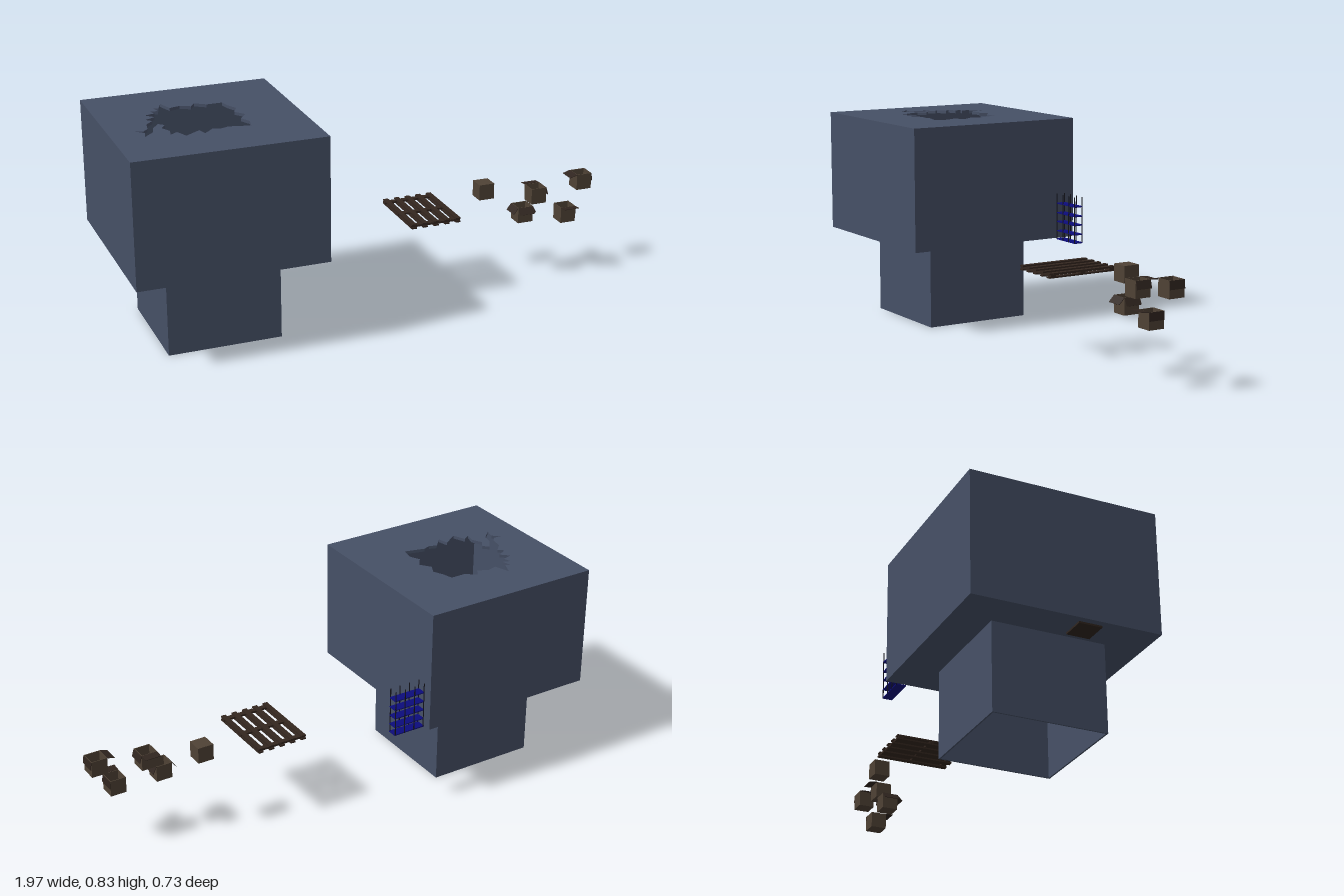
import * as THREE from 'three';

const mat = (name, color) => {
  const m = new THREE.MeshStandardMaterial({ color });
  m.name = name;
  return m;
};

export function createModel() {
  const slate = mat('slate', 0x465066);
  const navy = mat('navy', 0x0c0c7c);
  const black = mat('black', 0x14141c);
  const darkWood = mat('darkWood', 0x33261f);
  const card = mat('cardboard', 0x4f4235);
  const darkCard = mat('darkCardboard', 0x30251f);
  const model = new THREE.Group();
  model.name = 'ruinedBlockAndCargo';

  const group = (name, parent = model) => {
    const g = new THREE.Group();
    g.name = name;
    parent.add(g);
    return g;
  };
  const box = (parent, name, m, size, pos) => {
    const mesh = new THREE.Mesh(new THREE.BoxGeometry(...size), m);
    mesh.name = name;
    mesh.position.set(...pos);
    parent.add(mesh);
    return mesh;
  };

  // Four thin walls of a square room, without floor or roof
  const CX = -0.632;
  const walls = (parent, name, half, y0, y1, t) => {
    const h = y1 - y0, y = (y0 + y1) / 2;
    for (const s of [-1, 1]) {
      box(parent, name + 'Side', slate, [t, h, half * 2], [CX + s * (half - t / 2), y, 0]);
      box(parent, name + 'End', slate, [half * 2 - t * 2, h, t], [CX, y, s * (half - t / 2)]);
    }
  };
  // Horizontal square slab with a hole given as [x, z] points
  const slab = (parent, name, half, hole, y, t) => {
    const shape = new THREE.Shape([[-1, -1], [1, -1], [1, 1], [-1, 1]]
      .map(([a, b]) => new THREE.Vector2(CX + a * half, b * half)));
    shape.holes.push(new THREE.Path(hole.map(([x, z]) => new THREE.Vector2(x, -z))));
    const geo = new THREE.ExtrudeGeometry(shape, { depth: t, bevelEnabled: false });
    geo.rotateX(-Math.PI / 2);
    const mesh = new THREE.Mesh(geo, slate);
    mesh.name = name;
    mesh.position.y = y;
    parent.add(mesh);
  };

  // Building: open shaft below, wide room above with a broken roof
  const building = group('building');
  walls(building, 'shaftWall', 0.22, 0, 0.345, 0.006);
  walls(building, 'roomWall', 0.366, 0.343, 0.822, 0.012);
  const sq = 0.214;
  slab(building, 'roomFloor', 0.366,
    [[CX - sq, -sq], [CX + sq, -sq], [CX + sq, sq], [CX - sq, sq]], 0.342, 0.008);
  const breach = [
    -73, -21, -71, -15, -67, -16, -63, -14, -61, -17, -57, -14, -51, -14, -50, -10,
    -48, -6, -50, -2, -47, 2, -50, 6, -48, 10, -49, 15, -53, 14, -57, 13,
    -60, 14, -63, 13, -67, 17, -68, 13, -74, 17, -76, 12, -79, 14, -78, 10,
    -80, 6, -78, 3, -80, 1, -83, 5, -84, 9, -88, 13, -87, 9, -90, 6,
    -87, 7, -85, 5, -84, 0, -81, -3, -83, -5, -79, -7, -82, -10, -78, -11,
    -79, -14, -76, -13, -77, -17, -75, -16];
  const holePts = [];
  for (let i = 0; i < breach.length; i += 2) holePts.push([breach[i] / 100, breach[i + 1] / 100]);
  slab(building, 'brokenRoof', 0.366, holePts, 0.816, 0.012);

  // Shelf rack beside the room
  const rack = group('shelfRack');
  for (const y of [0.338, 0.372, 0.41, 0.446, 0.485])
    box(rack, 'shelf', navy, [0.134, 0.004, 0.038], [-0.201, y, -0.307]);
  for (const x of [-0.265, -0.222, -0.179, -0.137])
    for (const z of [-0.289, -0.325])
      box(rack, 'post', black, [0.003, 0.188, 0.003], [x, 0.43, z]);

  // Pallet: two layers of boards with cross boards between
  const pallet = group('pallet');
  for (let i = 0; i < 5; i++)
    for (const y of [0.3245, 0.3375])
      box(pallet, 'board', darkWood, [0.02, 0.006, 0.292], [0.16 + i * 0.0463, y, 0]);
  for (const z of [-0.13, 0, 0.13])
    box(pallet, 'crossBoard', darkWood, [0.208, 0.008, 0.021], [0.252, 0.331, z]);

  // Cardboard boxes; flaps are [yaw, droop] pairs hinged on the top edges
  const S = 0.064, T = 0.003;
  const carton = (x, y, z, flaps) => {
    const g = group('carton');
    g.position.set(x, y, z);
    box(g, 'bottom', card, [S, T, S], [0, -S / 2 + T / 2, 0]);
    for (let i = 0; i < 4; i++) {
      const side = group('side', g);
      side.rotation.y = i * Math.PI / 2;
      box(side, 'panel', card, [T, S, S], [S / 2 - T / 2, 0, 0]);
    }
    if (!flaps.length) box(g, 'lid', card, [S, T, S], [0, S / 2 - T / 2, 0]);
    for (const [yaw, droop] of flaps) {
      const turn = group('flap', g);
      turn.rotation.y = yaw * Math.PI / 2;
      const hinge = group('flapHinge', turn);
      hinge.position.set(S / 2, S / 2, 0);
      hinge.rotation.z = -droop;
      box(hinge, 'flapPanel', darkCard, [0.032, 0.002, S], [0.016, 0, 0]);
    }
  };
  // yaw 0 = +x, 1 = -z, 2 = -x, 3 = +z
  carton(0.55, 0.356, -0.06, []);
  carton(0.74, 0.342, 0.025, [[1, 0.1], [0, 1.3]]);
  carton(0.68, 0.272, 0.03, [[2, 0.9], [0, 1.1], [3, 0.8]]);
  carton(0.86, 0.255, 0.053, [[3, -0.1], [0, 1.5]]);
  carton(0.94, 0.377, 0.028, [[2, 0.3], [0, 1.45]]);

  // Flattened carton lying on the room floor
  box(model, 'flattenedCarton', darkCard, [0.095, 0.022, 0.09], [-0.925, 0.346, 0.1]);

  return model;
}
